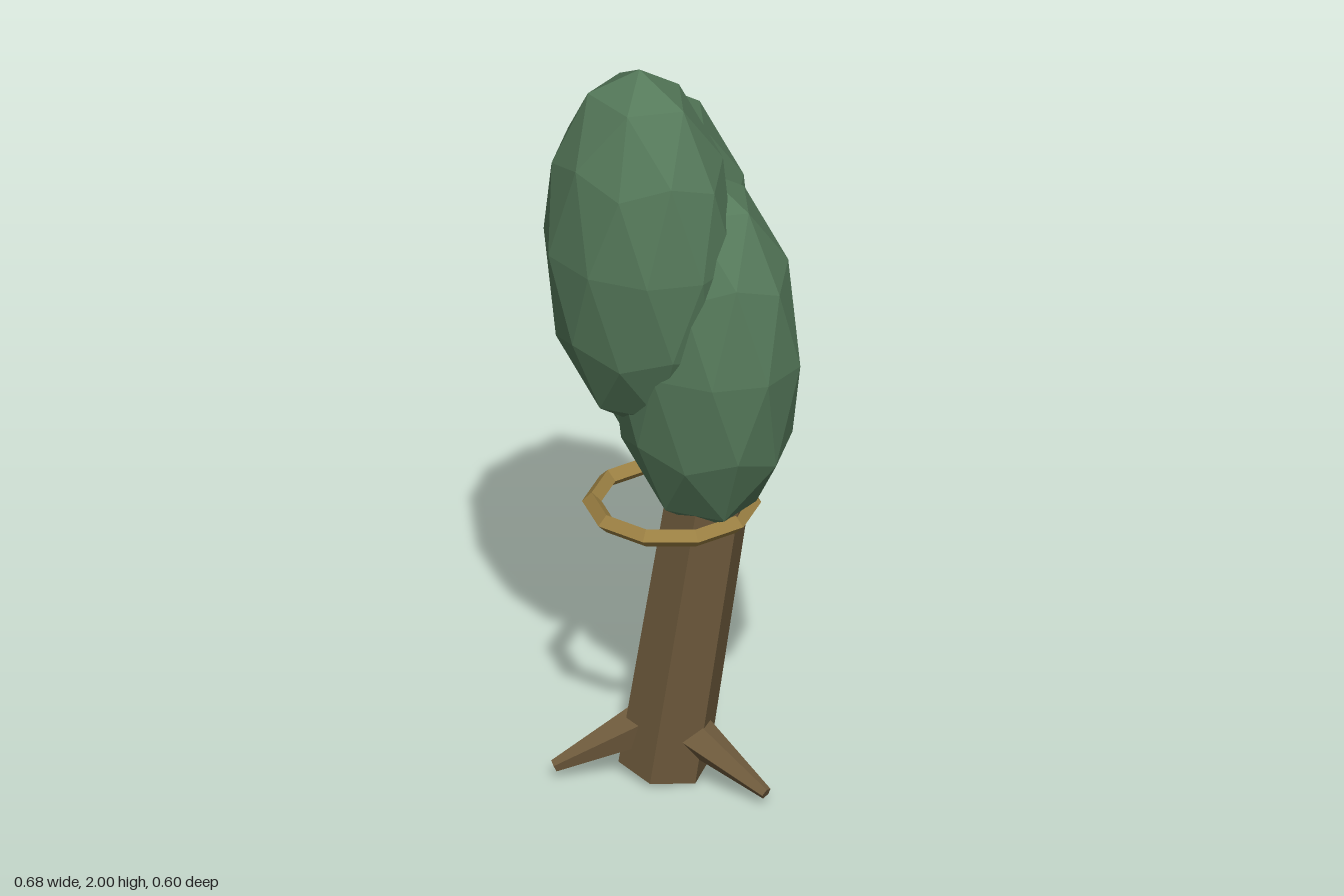
import * as THREE from 'three';

const flat = (name, color) => {
  const m = new THREE.MeshStandardMaterial({ color, flatShading: true });
  m.name = name;
  return m;
};

// Tapered prism running from point a to point b
function limb(name, a, b, r0, r1, sides, material, twist = 0) {
  const from = new THREE.Vector3(...a), to = new THREE.Vector3(...b);
  const axis = to.clone().sub(from);
  const geo = new THREE.CylinderGeometry(r1, r0, axis.length(), sides, 1, false, twist);
  const mesh = new THREE.Mesh(geo, material);
  mesh.position.copy(from).add(to).multiplyScalar(0.5);
  mesh.quaternion.setFromUnitVectors(new THREE.Vector3(0, 1, 0), axis.normalize());
  mesh.name = name;
  return mesh;
}

export function createModel() {
  const bark = flat('bark brown', 0x6f5b3d);
  const leaf = flat('leaf green', 0x55795a);
  const gold = flat('old gold', 0x9a7f42);

  const tree = new THREE.Group();
  tree.name = 'tree';

  // Leaning six-sided trunk, its top buried in the foliage
  tree.add(limb('trunk', [-0.032, 0.018, -0.017], [0.113, 0.93, -0.036], 0.115, 0.106, 6, bark, Math.PI / 9));

  // Three roots spreading from the base
  const tips = [[0.285, 0.033, -0.013], [-0.217, 0.033, 0.185], [-0.168, 0.03, -0.238]];
  tips.forEach((tip, i) => {
    const start = [-0.02 + (tip[0] + 0.02) * 0.1, 0.15, -0.015 + (tip[2] + 0.015) * 0.1];
    tree.add(limb('root' + (i + 1), start, tip, 0.062, 0.016, 5, bark));
  });

  // Ring hanging around the trunk
  const ringGeo = new THREE.TorusGeometry(0.196, 0.024, 4, 10);
  ringGeo.rotateX(Math.PI / 2);
  const ring = new THREE.Mesh(ringGeo, gold);
  ring.position.set(-0.003, 0.757, -0.011);
  ring.name = 'ring';
  tree.add(ring);

  // Three tall faceted leaf clumps, each with a corner at its pole
  const clumpGeo = new THREE.IcosahedronGeometry(1, 1);
  clumpGeo.rotateZ(-Math.atan(2 / (1 + Math.sqrt(5))));
  clumpGeo.scale(0.257, 0.495, 0.212);
  const clumps = [[-0.03, 1.505, 0.085], [-0.095, 1.361, -0.087], [0.095, 1.217, -0.015]];
  clumps.forEach((p, i) => {
    const clump = new THREE.Mesh(clumpGeo, leaf);
    clump.position.set(...p);
    clump.name = 'leafClump' + (i + 1);
    tree.add(clump);
  });

  return tree;
}
